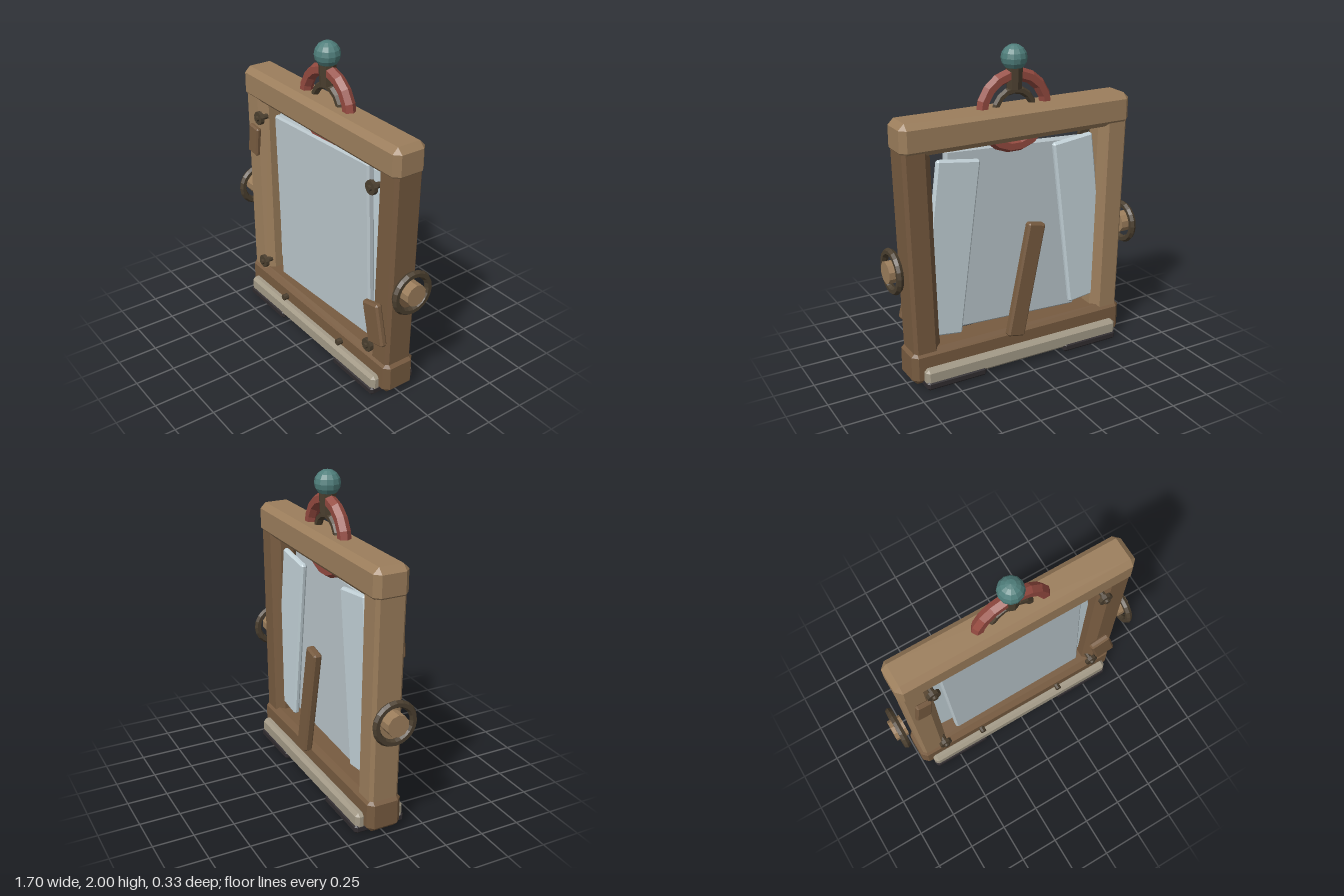
import * as THREE from 'three';
import { ConvexGeometry } from 'three/addons/geometries/ConvexGeometry.js';

const paint = (name, color) => {
  const m = new THREE.MeshStandardMaterial({ color });
  m.name = name;
  return m;
};

// Faceted look: every face keeps its own normal
const flat = (geometry) => {
  const g = geometry.index ? geometry.toNonIndexed() : geometry;
  g.computeVertexNormals();
  return g;
};

// Box with all its edges chamfered by b
function chamferBox(w, h, d, b) {
  const points = [];
  for (const x of [-1, 1]) for (const y of [-1, 1]) for (const z of [-1, 1]) {
    const [X, Y, Z] = [w / 2, h / 2, d / 2];
    points.push(
      new THREE.Vector3(x * X, y * (Y - b), z * (Z - b)),
      new THREE.Vector3(x * (X - b), y * Y, z * (Z - b)),
      new THREE.Vector3(x * (X - b), y * (Y - b), z * Z));
  }
  return flat(new ConvexGeometry(points));
}

// Upright post with a wide chamfer on the inner edges, leaning outward
function postGeometry(side) {
  const bottom = 0.2, top = 1.52, z = 0.095;
  const section = [[-0.0925, 0.045], [-0.0425, z], [0.0725, z], [0.0925, 0.075],
    [0.0925, -0.075], [0.0725, -z], [-0.0425, -z], [-0.0925, -0.045]];
  const points = [];
  for (const [y, centre] of [[bottom, 0.633], [top, 0.663]])
    for (const [sx, sz] of section) points.push(new THREE.Vector3(side * (centre + sx), y, sz));
  return flat(new ConvexGeometry(points));
}

export function createModel() {
  const model = new THREE.Group();
  model.name = 'framedPanel';

  const lightWood = paint('light wood', 0x9c7e5c);
  const darkWood = paint('dark wood', 0x775b40);
  const glass = paint('pane glass', 0xb9c5ca);
  const paleGlass = paint('pale glass', 0xc3d2d8);
  const iron = paint('dark iron', 0x4b3f2f);
  const red = paint('red ring', 0x944a40);
  const teal = paint('teal knob', 0x4f7e7b);
  const stone = paint('pale rail', 0xa39a87);
  const rubber = paint('black rubber', 0x302c2f);

  const add = (name, geometry, material, x, y, z, tilt = 0, parent = model) => {
    const mesh = new THREE.Mesh(geometry, material);
    mesh.name = name;
    mesh.position.set(x, y, z);
    mesh.rotation.z = tilt;
    parent.add(mesh);
    return mesh;
  };
  // Short cylinder whose axis runs along z
  const disc = (r, length, sides) =>
    flat(new THREE.CylinderGeometry(r, r, length, sides).rotateX(Math.PI / 2));

  // Frame
  add('topBeam', chamferBox(1.53, 0.2, 0.22, 0.036), lightWood, 0, 1.545, 0);
  add('bottomBeam', chamferBox(1.49, 0.22, 0.22, 0.034), darkWood, 0, 0.13, 0);
  add('rightPost', postGeometry(-1), lightWood, 0, 0, 0);
  add('leftPost', postGeometry(1), darkWood, 0, 0, 0);

  // Overlapping panes
  add('mainPane', chamferBox(0.95, 1.14, 0.05, 0.012), glass, 0, 0.836, 0.025, 0.045);
  add('rightPane', chamferBox(0.28, 1.1, 0.04, 0.012), paleGlass, -0.456, 0.85, -0.03, -0.125);
  add('leftPane', chamferBox(0.28, 1.1, 0.04, 0.012), paleGlass, 0.456, 0.83, -0.03, 0.13);

  // Slanted prop on the back
  add('backProp', chamferBox(0.12, 0.74, 0.055, 0.012), darkWood, -0.005, 0.57, -0.129, 0.2);

  // Repair patches on the posts
  add('rightPatch', chamferBox(0.1, 0.2, 0.035, 0.01), darkWood, -0.648, 1.177, 0.107, -0.12);
  add('leftPatch', chamferBox(0.14, 0.27, 0.045, 0.012), darkWood, 0.633, 0.495, 0.118, 0.24);

  // Rails along the foot, front and back
  for (const s of [1, -1])
    add(s > 0 ? 'frontRail' : 'backRail', chamferBox(1.36, 0.105, 0.065, 0.02), stone, 0, 0.08, s * 0.125);

  for (const s of [1, -1]) {
    // Rubber feet
    add('foot', chamferBox(0.4, 0.06, 0.33, 0.016), rubber, s * 0.48, 0.03, 0);
    // Small studs on the bottom beam
    add('stud', disc(0.02, 0.05, 8), iron, s * 0.3, 0.16, 0.12);
    // Corner bolts
    for (const y of [0.3, 1.355]) {
      const bolt = new THREE.Group();
      bolt.name = 'cornerBolt';
      bolt.position.set(s * 0.57, y, 0);
      add('boltFlange', disc(0.043, 0.025, 10), iron, 0, 0, 0.115, 0, bolt);
      add('boltHead', disc(0.018, 0.085, 8), iron, 0, 0, 0.1, 0, bolt);
      model.add(bolt);
    }
    // Side wheels
    const wheel = new THREE.Group();
    wheel.name = s > 0 ? 'leftWheel' : 'rightWheel';
    wheel.position.set(s * 0.81, 0.757, 0);
    wheel.rotation.y = s * Math.PI / 2;
    add('wheelRim', flat(new THREE.TorusGeometry(0.118, 0.023, 6, 20)), iron, 0, 0, 0, 0, wheel);
    add('wheelHub', disc(0.068, 0.083, 10), lightWood, 0, 0, 0, 0, wheel);
    model.add(wheel);
  }

  // Carrying ring, inner ring, stem and knob
  add('outerRing', flat(new THREE.TorusGeometry(0.215, 0.04, 6, 18)), red, 0, 1.61, 0);
  add('innerRing', flat(new THREE.TorusGeometry(0.127, 0.024, 6, 16)), iron, 0, 1.605, 0);
  add('knobStem', flat(new THREE.CylinderGeometry(0.054, 0.046, 0.14, 8)), iron, 0, 1.81, 0);
  add('knob', flat(new THREE.SphereGeometry(0.078, 12, 8)), teal, 0, 1.922, 0);

  return model;
}
